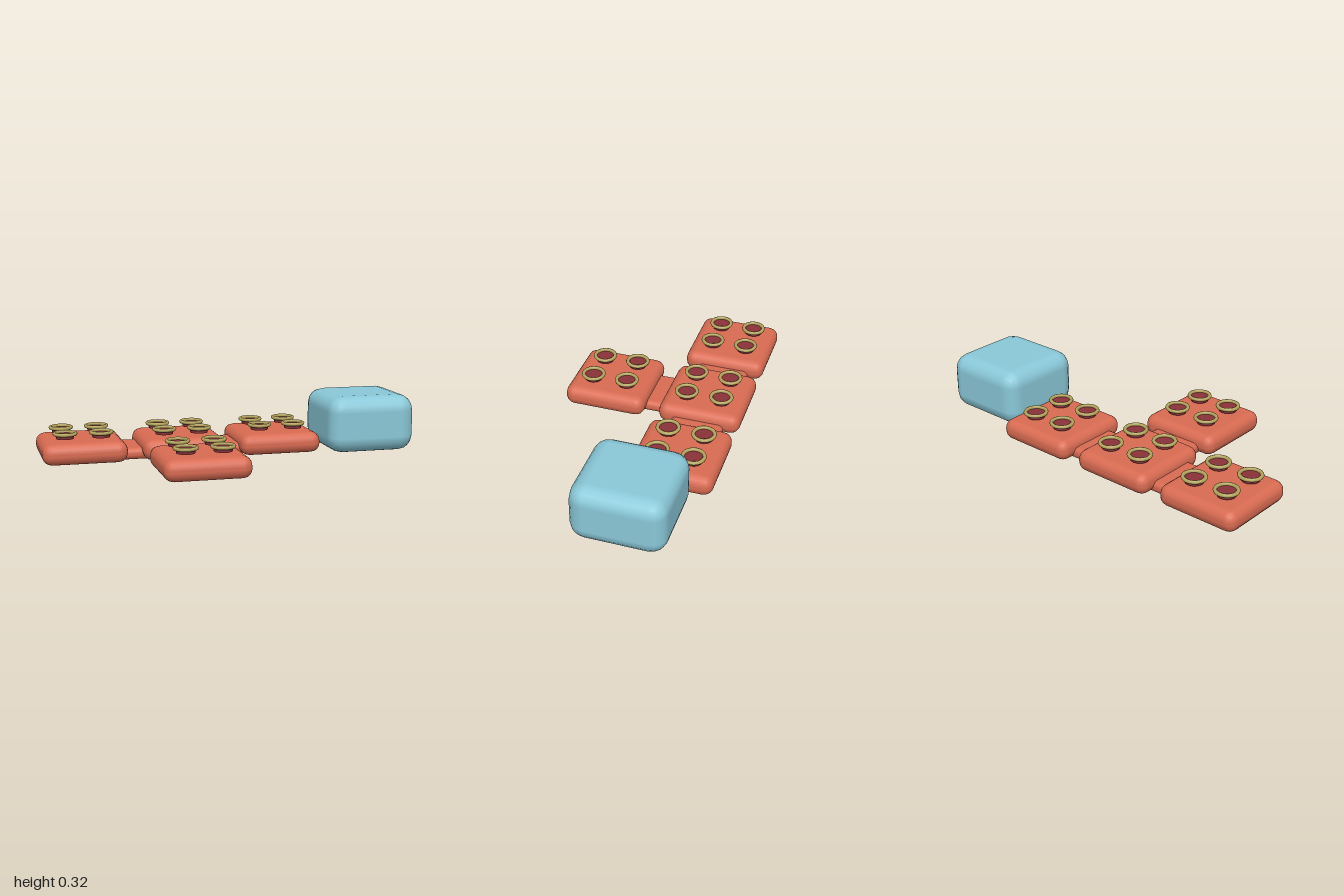
import * as THREE from 'three';
import { RoundedBoxGeometry } from 'three/addons/geometries/RoundedBoxGeometry.js';

const mat = (name, color) => {
  const m = new THREE.MeshStandardMaterial({ color });
  m.name = name;
  return m;
};

export function createModel() {
  const model = new THREE.Group();
  const coral = mat('coral', 0xd96b52);
  const blue = mat('pale blue', 0x8ac8d8);
  const maroon = mat('maroon', 0x8a3238);
  const brass = mat('brass', 0xb5a45e);

  const add = (parent, name, geometry, material, x, y, z) => {
    const mesh = new THREE.Mesh(geometry, material);
    mesh.name = name;
    mesh.position.set(x, y, z);
    parent.add(mesh);
    return mesh;
  };

  const slabGeo = new RoundedBoxGeometry(0.447, 0.114, 0.447, 2, 0.052);
  const plugGeo = new THREE.CylinderGeometry(0.049, 0.047, 0.022, 24);
  const ringGeo = new THREE.TorusGeometry(0.055, 0.01, 8, 28).rotateX(Math.PI / 2);

  // Slab tiles, each with four ringed studs hovering just over the top
  const rowZ = -0.267;
  const tiles = [[-0.776, rowZ], [-0.248, rowZ], [0.28, rowZ], [-0.248, 0.262]];
  for (const [x, z] of tiles) {
    const tile = new THREE.Group();
    tile.name = 'tile';
    tile.position.set(x, 0, z);
    add(tile, 'slab', slabGeo, coral, 0, 0.06, 0);
    for (const sx of [-1, 1]) for (const sz of [-1, 1]) {
      add(tile, 'studCore', plugGeo, maroon, sx * 0.095, 0.139, sz * 0.095);
      add(tile, 'studRing', ringGeo, brass, sx * 0.095, 0.154, sz * 0.095);
    }
    model.add(tile);
  }

  // Low links joining neighbouring tiles
  const linkGeo = new RoundedBoxGeometry(0.19, 0.062, 0.285, 2, 0.028);
  add(model, 'linkLeftwards', linkGeo, coral, 0.016, 0.034, rowZ);
  add(model, 'linkRightwards', linkGeo, coral, -0.512, 0.034, rowZ);
  add(model, 'linkFront', linkGeo, coral, -0.248, 0.034, -0.003).rotation.y = Math.PI / 2;

  // Large soft block at the end of the row
  add(model, 'endBlock', new RoundedBoxGeometry(0.485, 0.307, 0.485, 2, 0.085), blue, 0.757, 0.165, -0.159);

  return model;
}
